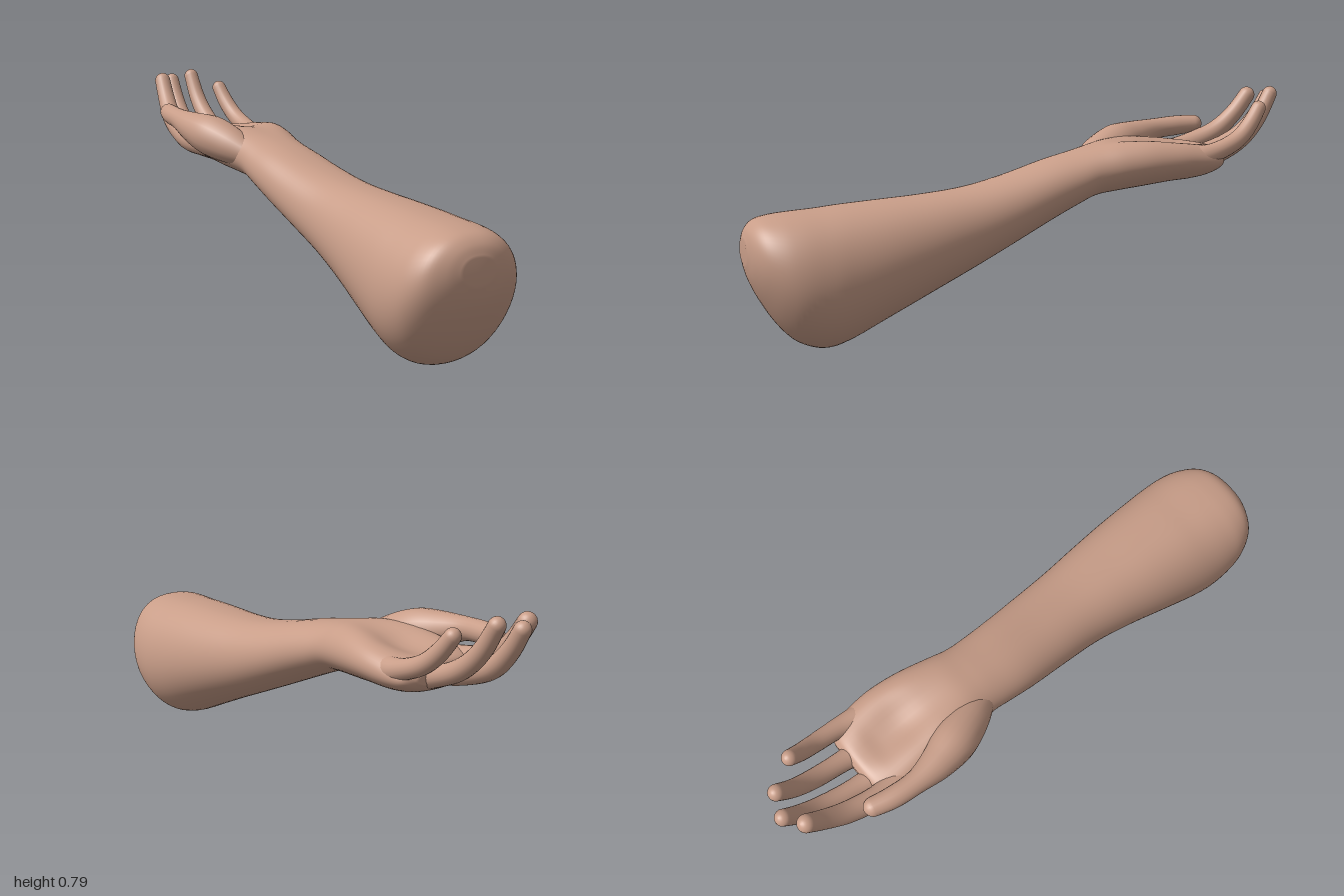
import * as THREE from 'three';

const V = (x, y, z) => new THREE.Vector3(x, y, z);

// Smooth closed skin over a list of rings; both ends close on the ring centre
function loft(rings) {
  const n = rings[0].length, pos = [], idx = [];
  rings.forEach(r => r.forEach(p => pos.push(p.x, p.y, p.z)));
  for (let i = 0; i < rings.length - 1; i++) {
    for (let j = 0; j < n; j++) {
      const k = (j + 1) % n;
      const a = i * n + j, b = i * n + k, c = a + n, d = b + n;
      idx.push(a, c, b, b, c, d);
    }
  }
  [0, rings.length - 1].forEach((i, end) => {
    const m = V(0, 0, 0);
    rings[i].forEach(p => m.addScaledVector(p, 1 / n));
    const centre = pos.length / 3;
    pos.push(m.x, m.y, m.z);
    for (let j = 0; j < n; j++) {
      const a = i * n + j, b = i * n + (j + 1) % n;
      if (end) idx.push(centre, b, a); else idx.push(centre, a, b);
    }
  });
  const g = new THREE.BufferGeometry();
  g.setAttribute('position', new THREE.Float32BufferAttribute(pos, 3));
  g.setIndex(idx);
  g.computeVertexNormals();
  return g;
}

// Forearm and palm: z, left x, right x, bottom y, top y, hollow of the palm
const SECTIONS = [
  [0.995, -0.05, 0.06, 0.29, 0.37, 0],
  [0.98, -0.10, 0.12, 0.235, 0.405, 0],
  [0.95, -0.15, 0.17, 0.17, 0.43, 0],
  [0.90, -0.18, 0.21, 0.09, 0.442, 0],
  [0.84, -0.19, 0.232, 0.03, 0.448, 0],
  [0.76, -0.19, 0.238, 0.003, 0.453, 0],
  [0.68, -0.182, 0.233, 0.02, 0.46, 0],
  [0.55, -0.163, 0.22, 0.08, 0.468, 0],
  [0.40, -0.14, 0.20, 0.15, 0.477, 0],
  [0.25, -0.126, 0.177, 0.218, 0.492, 0],
  [0.10, -0.13, 0.157, 0.287, 0.522, 0],
  [-0.05, -0.138, 0.137, 0.357, 0.562, 0],
  [-0.15, -0.138, 0.127, 0.402, 0.585, 0],
  [-0.22, -0.138, 0.124, 0.43, 0.605, 0.005],
  [-0.30, -0.15, 0.137, 0.442, 0.628, 0.015],
  [-0.40, -0.165, 0.155, 0.453, 0.643, 0.035],
  [-0.50, -0.168, 0.165, 0.465, 0.638, 0.05],
  [-0.58, -0.172, 0.162, 0.47, 0.625, 0.04],
  [-0.64, -0.17, 0.152, 0.48, 0.607, 0.015],
  [-0.68, -0.155, 0.135, 0.498, 0.588, 0],
  [-0.70, -0.11, 0.09, 0.52, 0.565, 0],
];

function armGeometry() {
  const widths = new THREE.CatmullRomCurve3(SECTIONS.map(s => V(s[1], s[2], s[0])), false, 'catmullrom');
  const heights = new THREE.CatmullRomCurve3(SECTIONS.map(s => V(s[3], s[4], s[5])), false, 'catmullrom');
  const rings = [], steps = 100, sides = 56;
  for (let i = 0; i <= steps; i++) {
    const w = widths.getPoint(i / steps), h = heights.getPoint(i / steps);
    const cx = (w.x + w.y) / 2, rx = (w.y - w.x) / 2;
    const cy = (h.x + h.y) / 2, ry = (h.y - h.x) / 2;
    const ring = [];
    for (let j = 0; j < sides; j++) {
      const a = j / sides * Math.PI * 2, c = Math.cos(a), s = Math.sin(a);
      // Fuller on the upper half, rounder below
      const u = Math.sign(c) * Math.pow(Math.abs(c), s > 0 ? 0.85 : 0.97);
      const hollow = s > 0 ? h.z * s * Math.exp(-Math.pow(u / 0.55, 2)) : 0;
      ring.push(V(cx + rx * u, cy + ry * s - hollow, w.z));
    }
    rings.push(ring);
  }
  return loft(rings);
}

// Digit: points are x, y, z, radius; the last point is the very tip
function digitGeometry(points) {
  const curve = new THREE.CatmullRomCurve3(points.map(p => V(p[0], p[1], p[2])), false, 'catmullrom');
  const radii = new THREE.CatmullRomCurve3(points.map(p => V(p[3], 0, 0)), false, 'catmullrom');
  const steps = 44, sides = 20;
  const frames = curve.computeFrenetFrames(steps, false);
  const length = curve.getLength(), rings = [];
  const addRing = (u, f) => {
    const p = curve.getPointAt(u);
    let r = radii.getPoint(curve.getUtoTmapping(u)).x;
    const left = (1 - u) * length, tip = points[points.length - 1][3];
    if (left < tip) r *= Math.sqrt(Math.max(0.0004, 1 - Math.pow(1 - left / tip, 2)));
    const ring = [];
    for (let j = 0; j < sides; j++) {
      const a = j / sides * Math.PI * 2;
      ring.push(p.clone()
        .addScaledVector(frames.normals[f], r * Math.cos(a))
        .addScaledVector(frames.binormals[f], -r * Math.sin(a)));
    }
    rings.push(ring);
  };
  const tipStart = 1 - points[points.length - 1][3] / length;
  for (let i = 0; i <= steps && i / steps < tipStart; i++) addRing(i / steps, i);
  // Rounded fingertip
  for (let k = 0; k <= 8; k++) {
    const u = 1 - (1 - tipStart) * (1 - Math.sin(k / 8 * Math.PI / 2));
    addRing(u, Math.min(steps, Math.round(u * steps)));
  }
  return loft(rings);
}

const DIGITS = {
  indexFinger: [
    [-0.105, 0.53, -0.46, 0.04], [-0.135, 0.545, -0.60, 0.045], [-0.142, 0.573, -0.70, 0.039],
    [-0.133, 0.615, -0.80, 0.036], [-0.122, 0.68, -0.875, 0.032], [-0.113, 0.772, -0.945, 0.029]],
  middleFinger: [
    [-0.05, 0.515, -0.46, 0.04], [-0.073, 0.525, -0.62, 0.045], [-0.07, 0.55, -0.74, 0.037],
    [-0.062, 0.598, -0.85, 0.034], [-0.057, 0.67, -0.925, 0.03], [-0.055, 0.768, -0.985, 0.026]],
  ringFinger: [
    [0.025, 0.515, -0.46, 0.04], [0.025, 0.53, -0.62, 0.043], [0.028, 0.555, -0.72, 0.035],
    [0.025, 0.602, -0.815, 0.033], [0.019, 0.675, -0.89, 0.03], [0.014, 0.785, -0.955, 0.026]],
  littleFinger: [
    [0.085, 0.53, -0.44, 0.045], [0.11, 0.55, -0.57, 0.044], [0.119, 0.575, -0.66, 0.034],
    [0.114, 0.612, -0.745, 0.031], [0.102, 0.665, -0.805, 0.029], [0.088, 0.74, -0.86, 0.025]],
  thumb: [
    [-0.085, 0.525, -0.22, 0.04], [-0.12, 0.555, -0.31, 0.065], [-0.155, 0.583, -0.40, 0.073],
    [-0.182, 0.606, -0.49, 0.057], [-0.194, 0.627, -0.58, 0.039], [-0.189, 0.637, -0.67, 0.036],
    [-0.168, 0.645, -0.765, 0.03]],
};

export function createModel() {
  const skin = new THREE.MeshStandardMaterial({ color: 0xc89d88 });
  skin.name = 'skin';
  const group = new THREE.Group();
  group.name = 'forearmAndHand';
  const add = (name, geometry) => {
    const mesh = new THREE.Mesh(geometry, skin);
    mesh.name = name;
    group.add(mesh);
  };
  add('forearmAndPalm', armGeometry());
  for (const [name, points] of Object.entries(DIGITS)) add(name, digitGeometry(points));
  return group;
}
